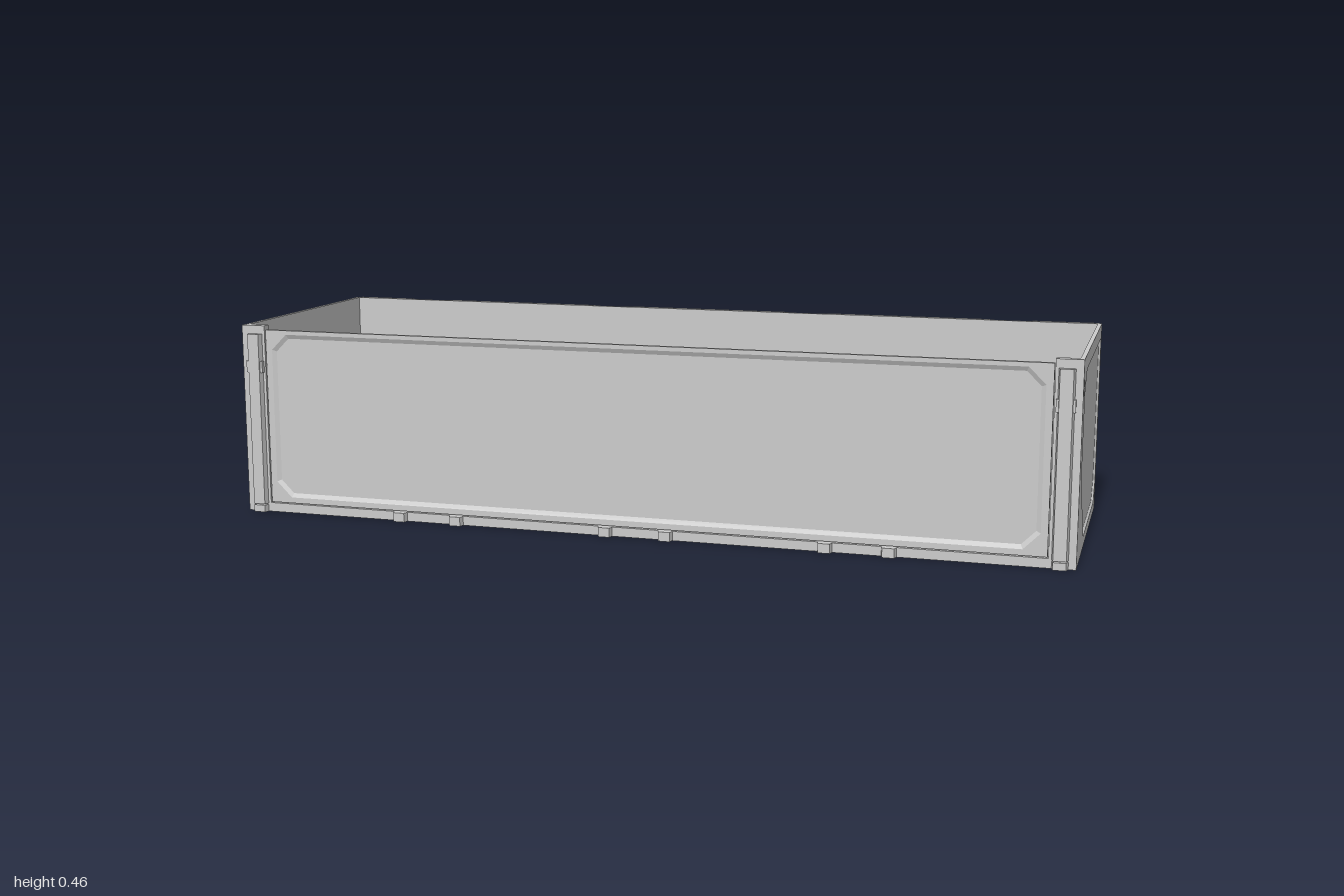
import * as THREE from 'three';

const mat = new THREE.MeshStandardMaterial({ color: 0xcccccc, flatShading: true, side: THREE.DoubleSide });

function add(parent, name, geometry, x = 0, y = 0, z = 0) {
  const mesh = new THREE.Mesh(geometry, mat);
  mesh.name = name;
  mesh.position.set(x, y, z);
  parent.add(mesh);
  return mesh;
}

// Box given by its limits
function box(parent, name, x0, x1, y0, y1, z0, z1) {
  return add(parent, name, new THREE.BoxGeometry(x1 - x0, y1 - y0, z1 - z0),
    (x0 + x1) / 2, (y0 + y1) / 2, (z0 + z1) / 2);
}

const rect = (x0, x1, y0, y1) => [[x0, y0], [x1, y0], [x1, y1], [x0, y1]];

// Rectangle with cut corners, counter-clockwise
const cutRect = (x0, x1, y0, y1, c) => [
  [x0 + c, y0], [x1 - c, y0], [x1, y0 + c], [x1, y1 - c],
  [x1 - c, y1], [x0 + c, y1], [x0, y1 - c], [x0, y0 + c]];

const toPoints = pts => pts.map(p => new THREE.Vector2(p[0], p[1]));

function plate(outline, holes, depth) {
  const shape = new THREE.Shape(toPoints(outline));
  holes.forEach(h => shape.holes.push(new THREE.Path(toPoints(h))));
  return new THREE.ExtrudeGeometry(shape, { depth, bevelEnabled: false });
}

// Moves every edge of a counter-clockwise outline inwards by d
function inset(pts, d) {
  const n = pts.length;
  return pts.map((p, i) => {
    const a = pts[(i + n - 1) % n], b = pts[(i + 1) % n];
    const l1 = Math.hypot(p[0] - a[0], p[1] - a[1]), l2 = Math.hypot(b[0] - p[0], b[1] - p[1]);
    const n1 = [-(p[1] - a[1]) / l1, (p[0] - a[0]) / l1];
    const n2 = [-(b[1] - p[1]) / l2, (b[0] - p[0]) / l2];
    const k = d / (1 + n1[0] * n2[0] + n1[1] * n2[1]);
    return [p[0] + (n1[0] + n2[0]) * k, p[1] + (n1[1] + n2[1]) * k];
  });
}

// Sloping sides of a pocket; an open pocket has no side along its last edge
function slopes(pts, bevel, depth, open = false) {
  const inner = inset(pts, bevel), pos = [], n = pts.length;
  if (open) [0, n - 1].forEach(i => { inner[i][1] = pts[i][1]; });
  for (let i = 0; i < (open ? n - 1 : n); i++) {
    const j = (i + 1) % n;
    const a = [...pts[i], depth], b = [...pts[j], depth], c = [...inner[j], 0], d = [...inner[i], 0];
    pos.push(...a, ...b, ...c, ...a, ...c, ...d);
  }
  const g = new THREE.BufferGeometry();
  g.setAttribute('position', new THREE.Float32BufferAttribute(pos, 3));
  g.computeVertexNormals();
  return g;
}

// Wall in the XY plane facing +z: solid sheet, raised frame and sloped pockets
function pocketWall(name, o) {
  const group = new THREE.Group(), through = o.through || [];
  group.name = name;
  add(group, name + 'Sheet', plate(o.sheet || o.outline, through, o.thick));
  add(group, name + 'Frame', plate(o.outline, [...o.pockets, ...through], o.depth), 0, 0, o.thick);
  o.pockets.forEach(p => add(group, name + 'PocketSides', slopes(p, o.bevel, o.depth), 0, 0, o.thick));
  (o.notches || []).forEach(p => add(group, name + 'NotchSides', slopes(p, 0.02, o.depth, true), 0, 0, o.thick));
  return group;
}

export function createModel() {
  const model = new THREE.Group();
  model.name = 'openCargoBed';
  const H = 0.46;

  box(model, 'floor', -0.99, 0.99, 0, 0.015, -0.305, 0.3);

  // Side walls with a many-cornered panel and a slot near the front
  const panel = [[-0.255, 0.18], [-0.1, 0.025], [0.25, 0.025], [0.298, 0.072],
    [0.298, 0.426], [-0.208, 0.426], [-0.255, 0.38]];
  const slot = rect(-0.292, -0.275, 0.379, 0.413);
  for (const s of [1, -1]) {
    const turn = pts => s > 0 ? pts : pts.map(p => [-p[0], p[1]]).reverse();
    const wall = pocketWall(s > 0 ? 'leftWall' : 'rightWall', {
      outline: turn(rect(-0.309, 0.31, 0, H)), pockets: [turn(panel)], through: [turn(slot)],
      thick: 0.005, depth: 0.005, bevel: 0.006,
    });
    wall.rotation.y = s * Math.PI / 2;
    wall.position.x = s * 0.99;
    model.add(wall);
    const plug = box(model, 'slotPlug', -0.004, 0.004, 0.384, 0.409, 0.279, 0.289);
    plug.position.x = s * 0.995;
  }

  // Back wall: wide and narrow pockets, short pockets under open notches
  const notchX = [-0.78, -0.26, 0.26, 0.78];
  const pockets = [-0.52, 0, 0.52].map(x => cutRect(x - 0.2, x + 0.2, 0.03, 0.43, 0.03));
  for (const x of [-0.915, 0.915]) pockets.push(cutRect(x - 0.066, x + 0.066, 0.025, 0.435, 0.028));
  for (const x of notchX) pockets.push(cutRect(x - 0.054, x + 0.054, 0.025, 0.3, 0.024));
  const notches = notchX.map(x => [[x - 0.058, H], [x - 0.058, 0.33], [x + 0.058, 0.33], [x + 0.058, H]]);
  const backOutline = [[-0.988, H], [-0.988, 0], [0.988, 0], [0.988, H],
    ...[...notches].reverse().flatMap(n => [...n].reverse())];
  const back = pocketWall('backWall', {
    outline: backOutline, sheet: rect(-0.99, 0.99, 0, H), pockets, notches,
    thick: 0.006, depth: 0.012, bevel: 0.022,
  });
  back.rotation.y = Math.PI;
  back.position.z = -0.304;
  model.add(back);

  // Chamfered back corners
  for (const s of [1, -1]) {
    const corner = plate([[s * 0.988, 0.31], [s, 0.31], [s * 0.988, 0.322]], [], H);
    corner.rotateX(-Math.PI / 2);
    add(model, 'backCorner', corner);
  }

  // Front gate with a cut-corner panel, above a sill
  const gate = pocketWall('frontGate', {
    outline: rect(-0.938, 0.938, 0.024, 0.45), pockets: [cutRect(-0.922, 0.922, 0.038, 0.44, 0.038)],
    thick: 0.006, depth: 0.005, bevel: 0.01,
  });
  gate.position.z = 0.296;
  model.add(gate);
  box(model, 'frontSill', -0.94, 0.94, 0, 0.022, 0.29, 0.309);

  // Tapered block, narrower at its outer face, standing on the front plane
  const block = (name, x, w, y0, y1) => {
    const g = plate([[-w, -0.309], [w, -0.309], [w * 0.8, -0.322], [-w * 0.8, -0.322]], [], y1 - y0);
    g.rotateX(-Math.PI / 2);
    add(model, name, g, x, y0, 0);
  };

  // Front posts with raised bars and latches
  for (const s of [1, -1]) {
    const x = s * 0.965;
    box(model, 'frontPost', x - 0.025, x + 0.025, 0, H, 0.288, 0.309);
    block('postBar', x, 0.018, 0.02, 0.44);
    block('postFoot', x, 0.018, 0, 0.017);
    box(model, 'latch', x - 0.021, x + 0.021, 0.346, 0.374, 0.309, 0.319);
  }

  // Gate hinges in pairs along the sill
  for (const x of [-0.592, -0.447, -0.073, 0.073, 0.447, 0.592]) block('gateHinge', x, 0.017, 0, 0.022);

  return model;
}
